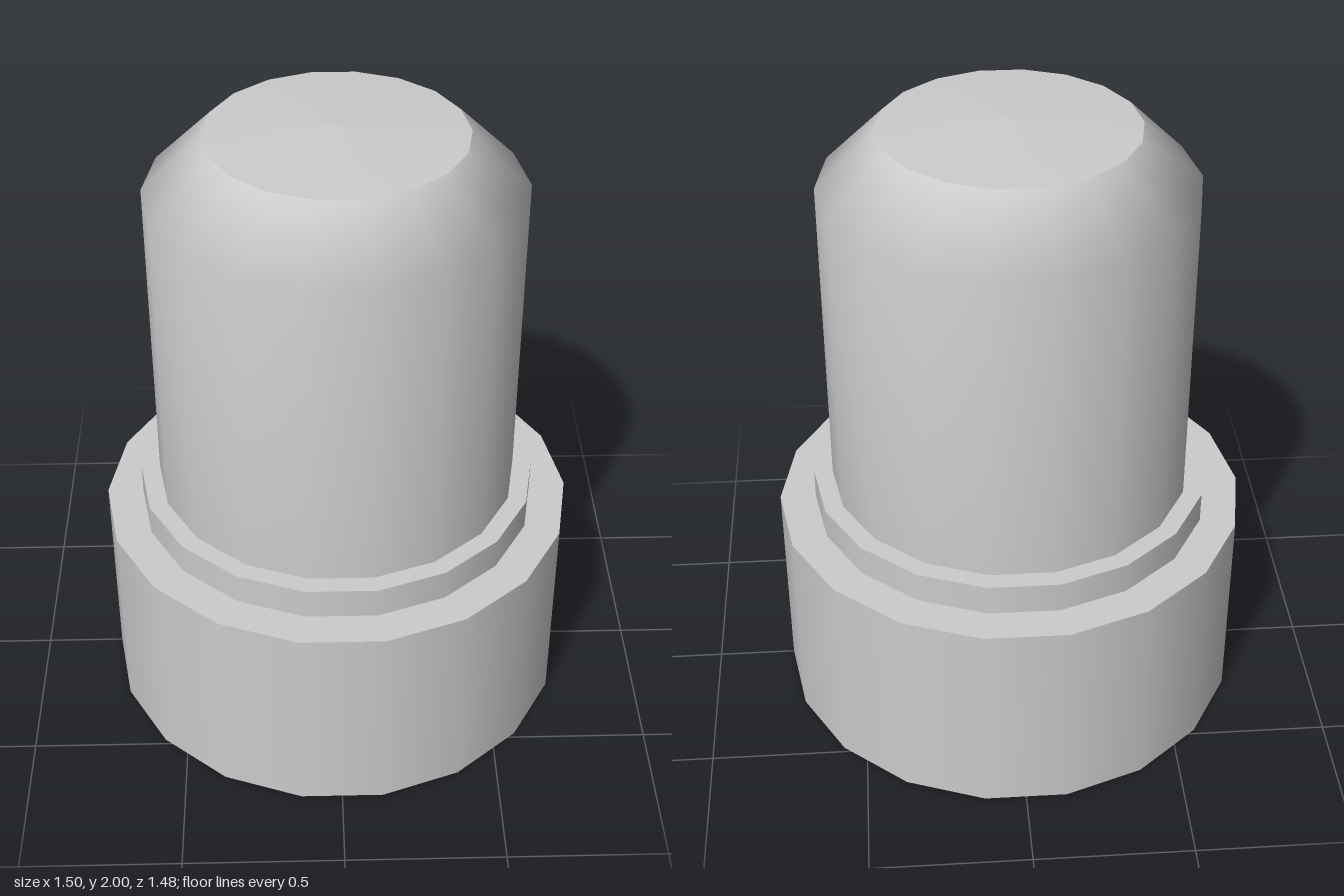
import * as THREE from 'three';
import { mergeVertices } from 'three/addons/utils/BufferGeometryUtils.js';

const SIDES = 18;
const START = Math.PI / 2; // puts a corner on the x axis
const material = new THREE.MeshStandardMaterial({ color: 0xcccccc });

// Smooth-sided drum standing between two heights
function drum(name, radius, y0, y1) {
  const geo = new THREE.CylinderGeometry(radius, radius, y1 - y0, SIDES, 1, false, START);
  const mesh = new THREE.Mesh(geo, material);
  mesh.position.y = (y0 + y1) / 2;
  mesh.name = name;
  return mesh;
}

// Lathed shell with area-weighted smooth normals and no seam
function shell(name, profile) {
  const points = profile.map(([r, y]) => new THREE.Vector2(r, y));
  const lathe = new THREE.LatheGeometry(points, SIDES, START);
  lathe.deleteAttribute('normal');
  lathe.deleteAttribute('uv');
  const geo = mergeVertices(lathe);
  geo.computeVertexNormals();
  const mesh = new THREE.Mesh(geo, material);
  mesh.name = name;
  return mesh;
}

export function createModel() {
  const group = new THREE.Group();
  group.name = 'plug';

  // Wide base and the thin step above it
  group.add(drum('base', 0.75, 0, 0.67));
  group.add(drum('collar', 0.635, 0.67, 0.77));

  // Body wall with its bevelled shoulder
  group.add(shell('body', [[0.575, 0.77], [0.575, 1.795], [0.393, 1.977]]));

  // Very shallow cone closing the top
  const cap = new THREE.Mesh(
    new THREE.ConeGeometry(0.393, 0.023, SIDES, 1, true, START), material);
  cap.position.y = 1.9885;
  cap.name = 'cap';
  group.add(cap);

  return group;
}
